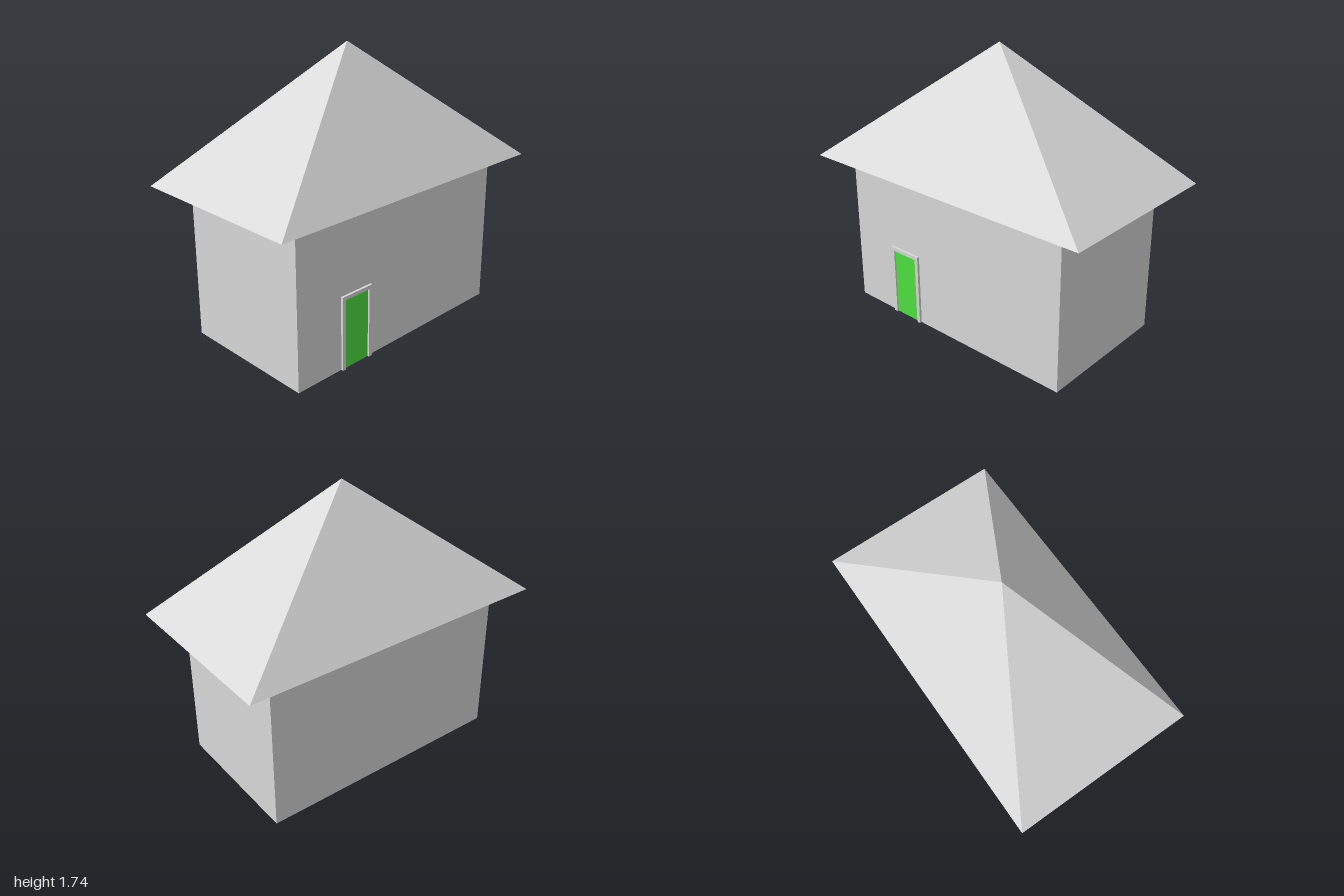
import * as THREE from 'three';

const WALL = { x: 0.81, z: 0.447, top: 0.9 };
const EAVE = { x: 1, z: 0.57, y: 0.97 };
const APEX = 1.74;

// Four corners of a level rectangle, in order so that side faces point outward
const ring = (x, z, y) => [[-x, y, z], [x, y, z], [x, y, -z], [-x, y, -z]];

// Hipped roof with sloping soffits, joined from rectangular rings
function roofGeometry() {
  const low = ring(WALL.x, WALL.z, WALL.top);
  const eave = ring(EAVE.x, EAVE.z, EAVE.y);
  const apex = [0, APEX, 0];
  const points = [];
  for (let i = 0; i < 4; i++) {
    const j = (i + 1) % 4;
    points.push(low[i], low[j], eave[j], low[i], eave[j], eave[i]); // soffit
    points.push(eave[i], eave[j], apex); // slope
  }
  const geometry = new THREE.BufferGeometry();
  geometry.setAttribute('position', new THREE.Float32BufferAttribute(points.flat(), 3));
  geometry.computeVertexNormals();
  return geometry;
}

// Door surround: an upside-down U, open at the ground
function frameGeometry(left, right, top, border, depth) {
  const shape = new THREE.Shape([
    [left, 0], [left + border, 0], [left + border, top - border],
    [right - border, top - border], [right - border, 0],
    [right, 0], [right, top], [left, top],
  ].map(([x, y]) => new THREE.Vector2(x, y)));
  return new THREE.ExtrudeGeometry(shape, { depth, bevelEnabled: false });
}

export function createModel() {
  const plaster = new THREE.MeshStandardMaterial({ name: 'pale grey', color: 0xd8d8d8 });
  const green = new THREE.MeshStandardMaterial({ name: 'door green', color: 0x4fe040 });
  const house = new THREE.Group();
  house.name = 'house';

  function add(name, geometry, material, x = 0, y = 0, z = 0) {
    const mesh = new THREE.Mesh(geometry, material);
    mesh.name = name;
    mesh.position.set(x, y, z);
    house.add(mesh);
  }

  add('walls', new THREE.BoxGeometry(WALL.x * 2, WALL.top, WALL.z * 2), plaster, 0, WALL.top / 2, 0);
  add('roof', roofGeometry(), plaster);

  // Front door, set back within its surround
  add('doorFrame', frameGeometry(-0.49, -0.257, 0.46, 0.024, 0.015), plaster, 0, 0, WALL.z);
  add('door', new THREE.BoxGeometry(0.185, 0.436, 0.004), green, -0.3735, 0.218, WALL.z + 0.002);

  return house;
}
